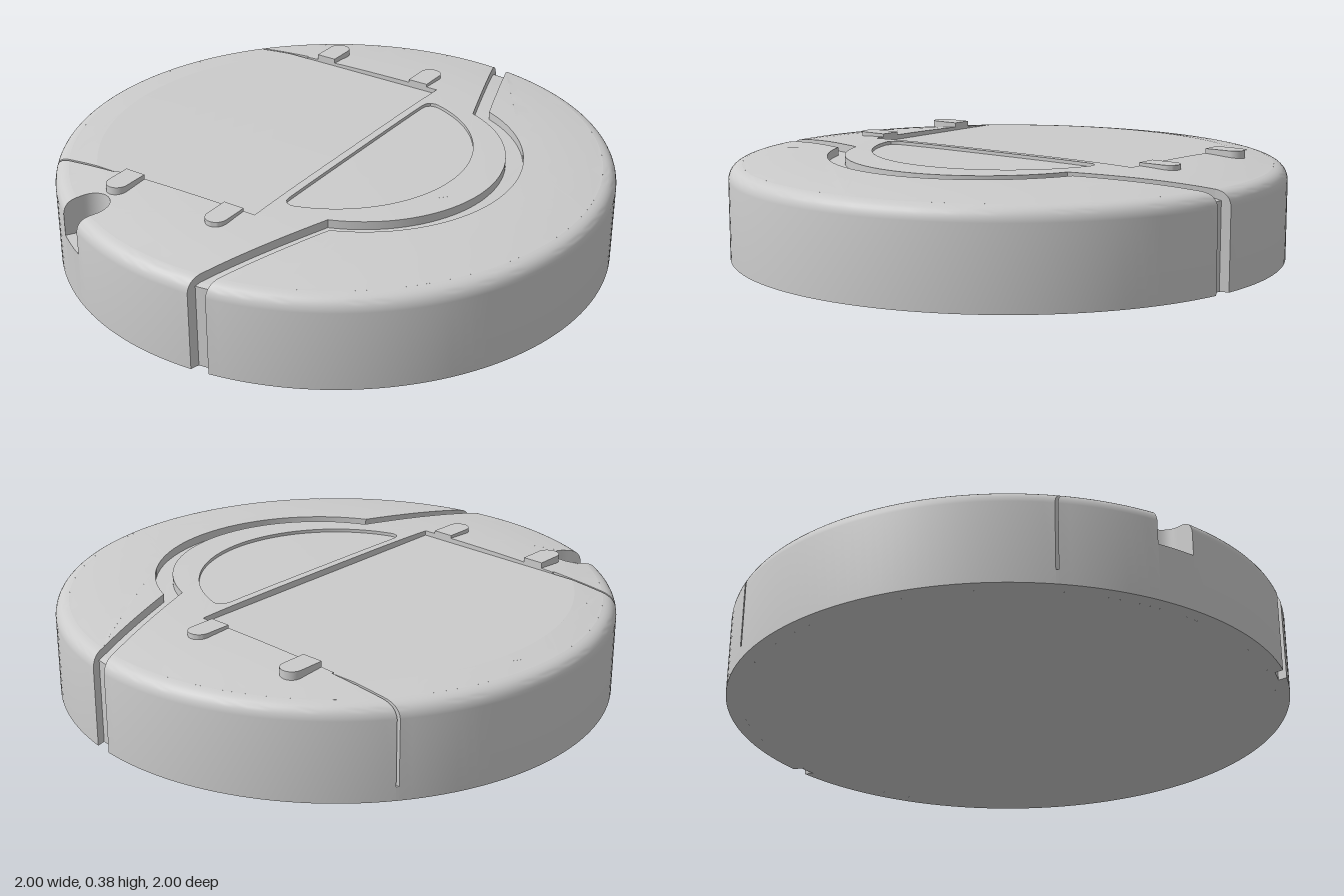
import * as THREE from 'three';
import { toCreasedNormals } from 'three/addons/utils/BufferGeometryUtils.js';

const R = 0.95; // where the domed top meets the rounded rim
const dome = (x, z) => 0.372 - 0.036 * Math.pow(Math.hypot(x, z) / R, 4);
const material = new THREE.MeshStandardMaterial({ color: 0xcccccc });

function meshFrom(name, tris) {
  const g = new THREE.BufferGeometry();
  g.setAttribute('position', new THREE.Float32BufferAttribute(tris.flat(), 3));
  const mesh = new THREE.Mesh(toCreasedNormals(g, 0.6), material);
  mesh.name = name;
  return mesh;
}

// Plan-view arc as [x, z] points
function arc(r, a0, a1, cx = 0, cz = 0, step = 0.04) {
  const n = Math.max(2, Math.ceil(Math.abs(a1 - a0) / step));
  return Array.from({ length: n + 1 }, (_, i) => {
    const a = a0 + (a1 - a0) * i / n;
    return [cx + r * Math.cos(a), cz + r * Math.sin(a)];
  });
}

// Upright solid over a plan outline, with its top following top(x, z)
function slab(name, outline, top, holes = [], base = 0) {
  const vec = (pts) => pts.map(([x, z]) => new THREE.Vector2(x, z));
  const contour = vec(outline), holeVecs = holes.map(vec);
  const faces = THREE.ShapeUtils.triangulateShape(contour, holeVecs);
  const pts = [contour, ...holeVecs].flat().map((v) => [v.x, v.y]);
  const flat = [];
  // Halve long edges until the top can follow the dome
  const split = (a, b, c) => {
    const len = (p, q) => Math.hypot(p[0] - q[0], p[1] - q[1]);
    const l = [len(a, b), len(b, c), len(c, a)], m = Math.max(...l);
    if (m < 0.09) return flat.push([a, b, c]);
    if (l[1] === m) [a, b, c] = [b, c, a];
    else if (l[2] === m) [a, b, c] = [c, a, b];
    const mid = [(a[0] + b[0]) / 2, (a[1] + b[1]) / 2];
    split(a, mid, c);
    split(mid, b, c);
  };
  for (const f of faces) {
    const [a, b, c] = f.map((i) => pts[i]);
    const up = (b[1] - a[1]) * (c[0] - a[0]) - (b[0] - a[0]) * (c[1] - a[1]);
    if (up > 0) split(a, b, c); else split(a, c, b);
  }
  const hi = ([x, z]) => [x, top(x, z), z], lo = ([x, z]) => [x, base, z];
  const key = (p) => p[0].toFixed(5) + ',' + p[1].toFixed(5);
  const edges = new Map(), out = [];
  for (const t of flat) {
    out.push(...t.map(hi));
    t.forEach((p, i) => edges.set(key(p) + '|' + key(t[(i + 1) % 3]), [p, t[(i + 1) % 3]]));
  }
  // Walls below every open edge
  for (const [p, q] of edges.values()) {
    if (edges.has(key(q) + '|' + key(p))) continue;
    out.push(lo(p), lo(q), hi(q), lo(p), hi(q), hi(p));
  }
  return meshFrom(name, out);
}

// Rim piece: [r, y] profile swept between two angles that may vary with r
function rim(name, a0, a1, profile) {
  const n = Math.max(2, Math.ceil((a1(1) - a0(1)) / 0.04)), out = [];
  const P = (i, j) => {
    const [r, y] = profile[j], a = a0(r) + (a1(r) - a0(r)) * i / n;
    return [r * Math.cos(a), y, r * Math.sin(a)];
  };
  for (let j = 0; j < profile.length - 1; j++) {
    for (let i = 0; i < n; i++) {
      out.push(P(i, j), P(i, j + 1), P(i + 1, j + 1), P(i, j), P(i + 1, j + 1), P(i + 1, j));
    }
    if (j > 0) out.push(P(n, 0), P(n, j), P(n, j + 1), P(0, 0), P(0, j + 1), P(0, j));
  }
  return meshFrom(name, out);
}

export function createModel() {
  const group = new THREE.Group();
  group.name = 'roundBody';

  // Angles of the cuts through the rim
  const between = (inner, outer) => (r) => inner + (outer - inner) * (r - R) / (1 - R);
  const neg = (f) => (r) => -f(r);
  const grooveR = between(1.378, 1.4), grooveL = between(1.445, 1.465);
  const phi = 2.098, c = [0.925 * Math.cos(phi), 0.925 * Math.sin(phi)];
  const notchA = (r) => phi - Math.asin(0.07 / r), notchB = (r) => phi + Math.asin(0.07 / r);
  const slitA = (r) => Math.PI - Math.asin(0.594 / r);
  const slitB = (r) => Math.PI - Math.asin(0.586 / r);
  const notchArc = arc(0.07, phi - Math.PI / 2, phi - Math.PI * 1.5, ...c, 0.15);

  // Ring-shaped middle of the groove
  const inner = (s) => arc(0.514, s * 1.203, -s * 1.203, 0.105);
  const outer = (s) => arc(0.576, s * 1.169, -s * 1.169, 0.105);

  // D-shaped inset
  const corner = [[0.1, -0.43], [0.103, -0.45], [0.115, -0.465], [0.135, -0.47]];
  const inset = [...corner, ...arc(0.49, -1.27, 1.27),
    ...corner.map(([x, z]) => [x, -z]).reverse()];

  // Main top, around the panel and inside the groove
  group.add(slab('mainTop', [
    ...arc(R, grooveL(R), notchA(R)), ...notchArc, ...arc(R, notchB(R), slitA(R)),
    [-0.53, 0.594], [-0.53, 0.586], [0.07, 0.586],
    [0.07, -0.586], [-0.53, -0.586], [-0.53, -0.594],
    ...arc(R, -slitA(R), -grooveL(R)), ...inner(-1),
  ], dome, [inset]));
  group.add(slab('sideTop', [...arc(R, -grooveR(R), grooveR(R)), ...outer(1)], dome));
  group.add(slab('grooveFloor', [
    ...arc(R, grooveR(R), grooveL(R)), ...inner(1),
    ...arc(R, -grooveL(R), -grooveR(R)), ...outer(-1),
  ], (x, z) => dome(x, z) - 0.03));
  group.add(slab('insetFloor', inset, (x, z) => dome(x, z) - 0.012));

  // Flat sunken panel and the domed strip beyond it
  const rp = 0.85, ap = Math.PI - Math.asin(0.586 / rp);
  group.add(slab('panel', [[0.07, -0.586], [0.07, 0.586], ...arc(rp, ap, 2 * Math.PI - ap)],
    () => dome(rp, 0)));
  group.add(slab('panelEdge', [
    ...arc(R, slitB(R), 2 * Math.PI - slitB(R)), ...arc(rp, 2 * Math.PI - ap, ap),
  ], dome));

  // Floor of the finger notch
  group.add(slab('notchFloor', [...notchArc, ...arc(R, notchB(R), notchA(R))], () => 0.2));

  // Rounded outer rim
  const fillet = new THREE.QuadraticBezierCurve(new THREE.Vector2(1, 0.285),
    new THREE.Vector2(0.995, 0.329), new THREE.Vector2(R, dome(R, 0)));
  const full = [[R, 0], [1, 0], ...fillet.getPoints(8).map((p) => [p.x, p.y])];
  const step = (r, y, yIn = y) => [[R, 0], [r, 0], [r, y], [R, yIn]];
  const turn = (r) => 2 * Math.PI - slitB(r);
  group.add(
    rim('sideRim', neg(grooveR), grooveR, full),
    rim('frontRim', grooveL, notchA, full),
    rim('notchRim', notchA, notchB, step(1, 0.2)),
    rim('frontCornerRim', notchB, slitA, full),
    rim('backRim', neg(slitA), neg(grooveL), full),
    rim('panelRim', slitB, turn, full),
    rim('frontSlitBase', slitA, slitB, step(1, 0.05)),
    rim('backSlitBase', neg(slitB), neg(slitA), step(1, 0.05)),
    rim('frontGrooveRim', grooveR, grooveL, step(0.97, 0.3, dome(R, 0) - 0.03)),
    rim('backGrooveRim', neg(grooveL), neg(grooveR), step(0.97, 0.3, dome(R, 0) - 0.03)),
  );

  // Hinge tabs on both sides of the panel
  for (const x of [-0.44, -0.015]) {
    for (const s of [1, -1]) {
      group.add(slab('hingeTab', [
        [x + 0.04, s * 0.586], ...arc(0.04, 0, s * Math.PI, x, s * 0.68, 0.2), [x - 0.04, s * 0.586],
      ], () => 0.378, [], 0.3));
    }
  }

  // Underside
  const bottom = new THREE.Mesh(new THREE.CircleGeometry(R, 160).rotateX(Math.PI / 2), material);
  bottom.name = 'underside';
  group.add(bottom);
  return group;
}
